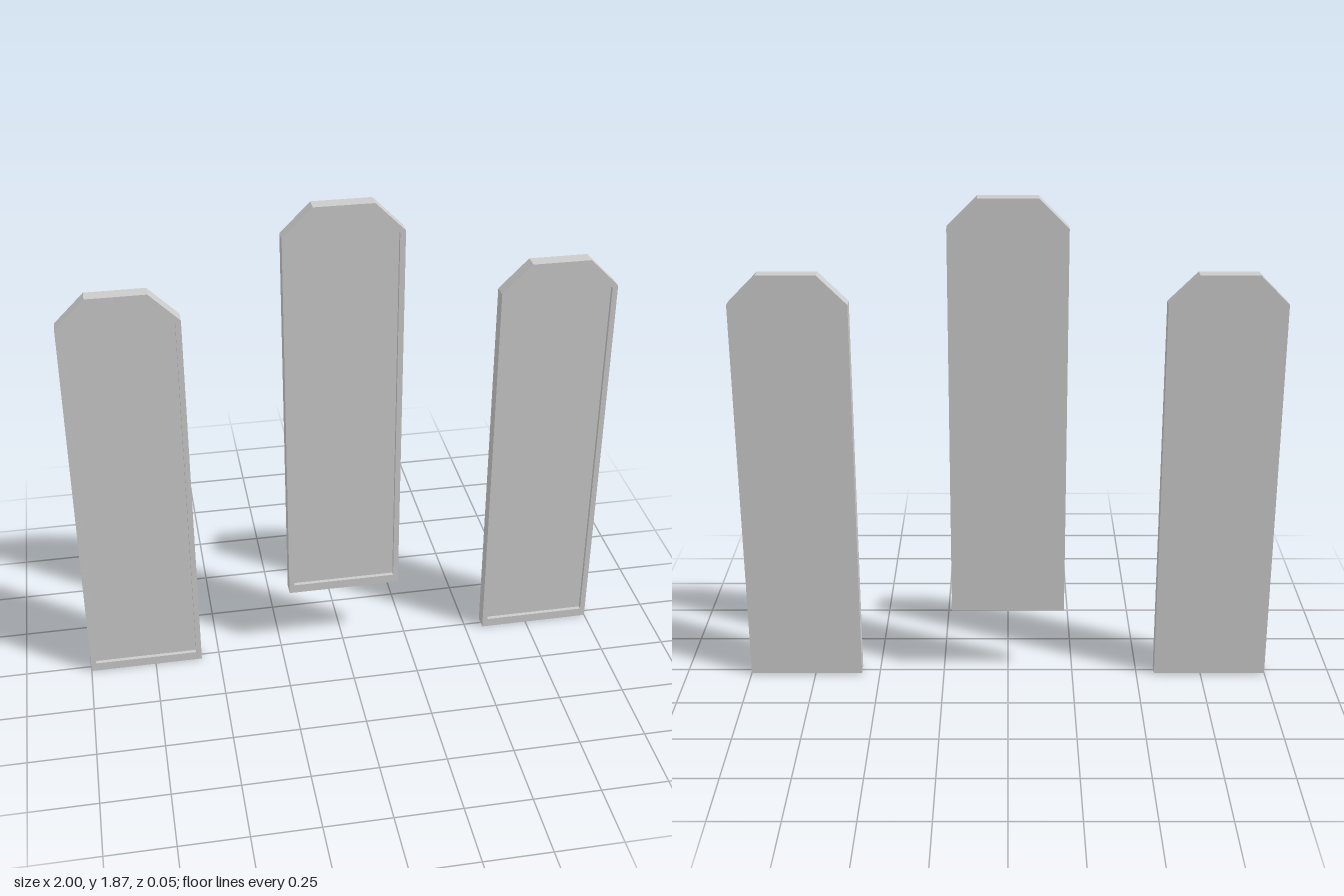
import * as THREE from 'three';

const DEPTH = 0.054, RECESS = 0.015;

// Outline of a panel with two clipped top corners
function outline(halfW, bottom, shoulder, top, halfTop, Type = THREE.Shape) {
  return new Type([
    [-halfW, bottom], [halfW, bottom], [halfW, shoulder],
    [halfTop, top], [-halfTop, top], [-halfW, shoulder],
  ].map(([x, y]) => new THREE.Vector2(x, y)));
}

function extrude(shape, depth, z) {
  return new THREE.ExtrudeGeometry(shape, { depth, bevelEnabled: false }).translate(0, 0, z);
}

export function createModel() {
  const model = new THREE.Group();
  model.name = 'panelSet';
  const material = new THREE.MeshStandardMaterial({ color: 0xcccccc, flatShading: true });

  const outer = [0.215, 0, 1.49, 1.598, 0.107];
  const inner = [0.195, 0.035, 1.482, 1.578, 0.099];

  // Solid backing slab
  const slabGeometry = extrude(outline(...outer), DEPTH - RECESS, -DEPTH / 2);

  // Raised rim around the recessed front
  const rimShape = outline(...outer);
  rimShape.holes.push(outline(...inner, THREE.Path));
  const rimGeometry = extrude(rimShape, RECESS, DEPTH / 2 - RECESS);

  // Three panels, the middle one raised
  for (const [name, x, y] of [
    ['rightPanel', -0.785, 0], ['middlePanel', 0, 0.274], ['leftPanel', 0.785, 0],
  ]) {
    const panel = new THREE.Group();
    panel.name = name;
    panel.position.set(x, y, 0);
    const slab = new THREE.Mesh(slabGeometry, material);
    slab.name = 'backing';
    const rim = new THREE.Mesh(rimGeometry, material);
    rim.name = 'rim';
    panel.add(slab, rim);
    model.add(panel);
  }
  return model;
}
